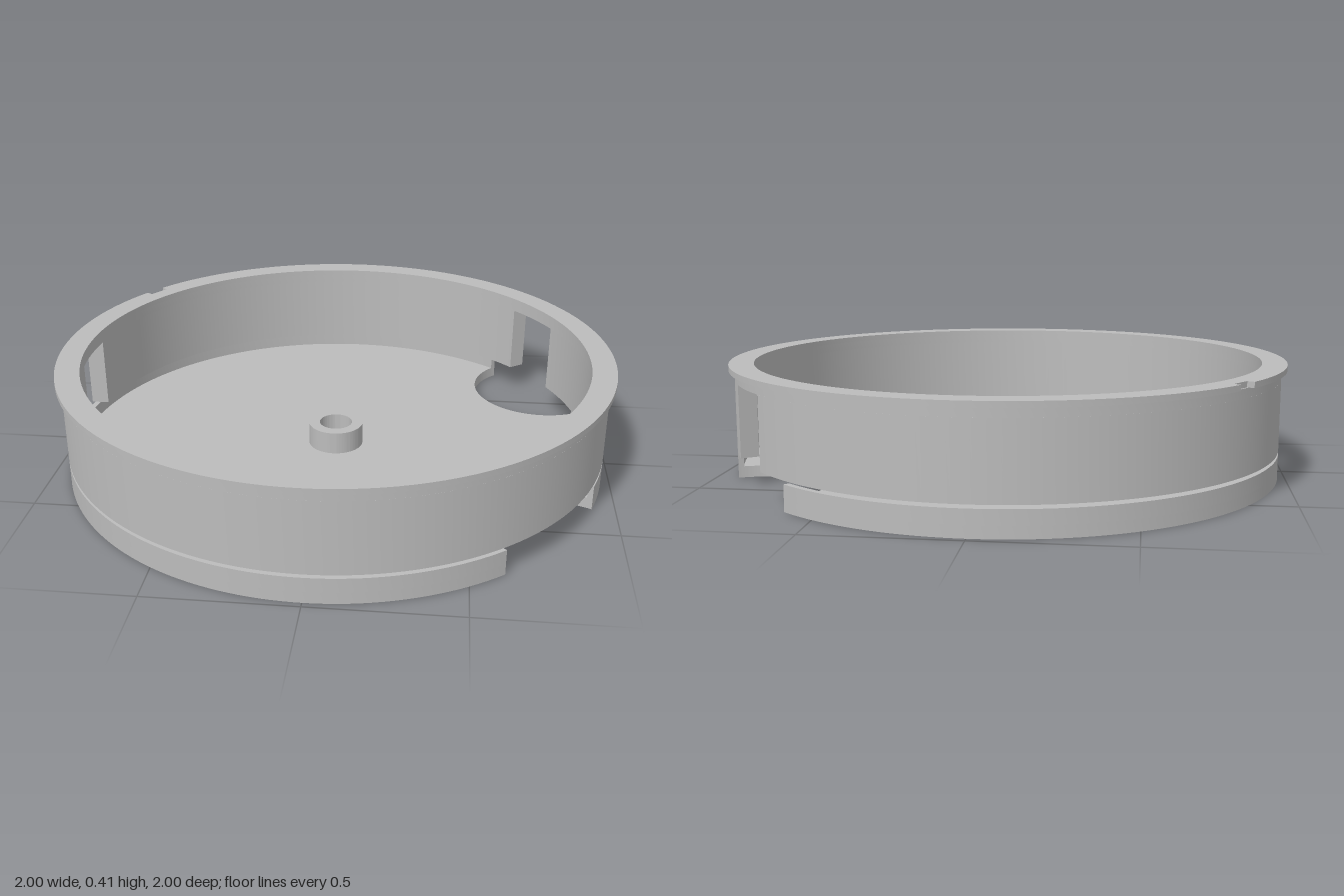
import * as THREE from 'three';
import { toCreasedNormals } from 'three/addons/utils/BufferGeometryUtils.js';

const rad = THREE.MathUtils.degToRad;
const TAU = Math.PI * 2;
const BITE = { angle: rad(35.8), dist: 0.974, r: 0.265 };
const OUTER = 0.98;

export function createModel() {
  const group = new THREE.Group();
  const grey = new THREE.MeshStandardMaterial({ color: 0xbcbcbc });
  grey.name = 'plain grey';

  // Extrude a plan outline (shape y points to -z) between two heights
  function slab(name, shape, y0, y1) {
    let geo = new THREE.ExtrudeGeometry(shape, { depth: y1 - y0, bevelEnabled: false, curveSegments: 64 });
    geo.rotateX(-Math.PI / 2);
    geo.translate(0, y0, 0);
    geo = toCreasedNormals(geo, 0.5);
    const mesh = new THREE.Mesh(geo, grey);
    mesh.name = name;
    group.add(mesh);
  }

  function addHole(shape, r) {
    shape.holes.push(new THREE.Path().absarc(0, 0, r, 0, TAU, true));
    return shape;
  }

  function ring(R, r) {
    return addHole(new THREE.Shape().absarc(0, 0, R, 0, TAU, false), r);
  }

  // Ring sector; inset(r) is the angle cut off each end at radius r
  function sector(a0, a1, R, r, inset) {
    const s = new THREE.Shape();
    s.absarc(0, 0, R, a0 + inset(R), a1 - inset(R), false);
    s.absarc(0, 0, r, a1 - inset(r), a0 + inset(r), true);
    s.closePath();
    return s;
  }

  const biteInset = (r) =>
    Math.acos((r * r + BITE.dist ** 2 - BITE.r ** 2) / (2 * r * BITE.dist));
  const windowInset = (r) => Math.asin(0.115 / r);

  // Base floor with two round bites and a centre hole
  const floor = new THREE.Shape();
  const d = biteInset(OUTER);
  function bite(angle) {
    const cx = BITE.dist * Math.cos(angle), cy = BITE.dist * Math.sin(angle);
    const at = (a) => Math.atan2(OUTER * Math.sin(a) - cy, OUTER * Math.cos(a) - cx);
    floor.absarc(cx, cy, BITE.r, at(angle - d), at(angle + d), true);
  }
  floor.absarc(0, 0, OUTER, BITE.angle + d, TAU - BITE.angle - d, false);
  bite(-BITE.angle);
  floor.absarc(0, 0, OUTER, -BITE.angle + d, BITE.angle - d, false);
  bite(BITE.angle);
  slab('baseFloor', addHole(floor, 0.06), 0, 0.04);

  // Thin lip around the base, broken by the bites
  slab('baseLipLong', sector(BITE.angle, TAU - BITE.angle, OUTER, 0.96, biteInset), 0.04, 0.09);
  slab('baseLipShort', sector(-BITE.angle, BITE.angle, OUTER, 0.96, biteInset), 0.04, 0.09);

  // Hollow centre boss
  slab('centreBoss', ring(0.1, 0.06), 0.04, 0.122);

  // Upper wall: two arcs between the window openings, closed by a full ring
  const w0 = rad(35.8), w1 = Math.PI;
  slab('wallBack', sector(w0, w1, OUTER, 0.917, windowInset), 0.102, 0.355);
  slab('wallFront', sector(w1, w0 + TAU, OUTER, 0.917, windowInset), 0.102, 0.355);
  slab('wallTop', ring(OUTER, 0.917), 0.355, 0.387);

  // Rim flange with a small locating notch
  const flange = new THREE.Shape();
  const n = rad(145), h = rad(2.35);
  flange.absarc(0, 0, 1, n + h, n - h + TAU, false);
  flange.lineTo(0.974 * Math.cos(n - h), 0.974 * Math.sin(n - h));
  flange.lineTo(0.974 * Math.cos(n + h), 0.974 * Math.sin(n + h));
  flange.closePath();
  slab('rimFlange', addHole(flange, 0.913), 0.387, 0.407);

  return group;
}
